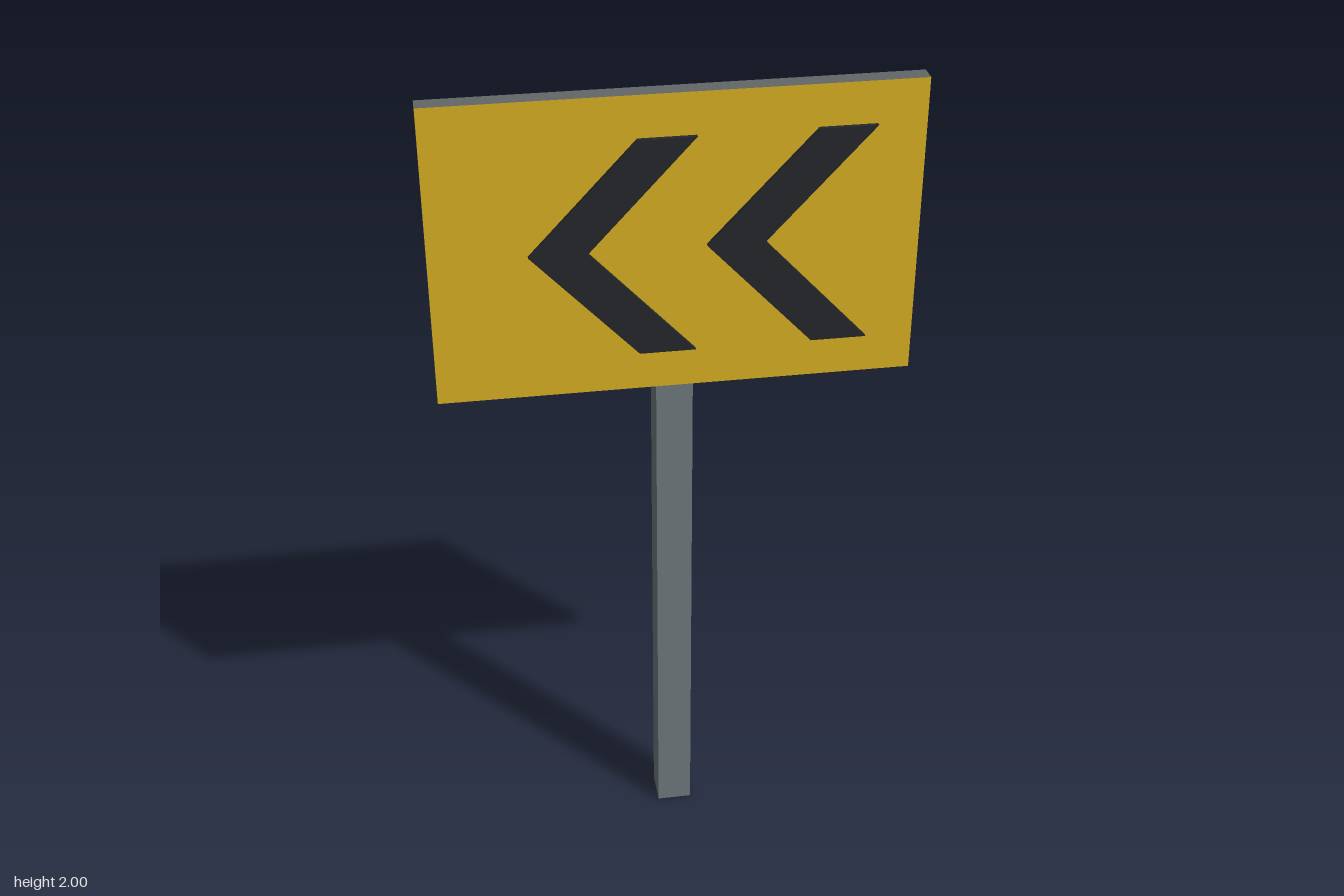
import * as THREE from 'three';

const paint = (color) => new THREE.MeshStandardMaterial({ color });

export function createModel() {
  const model = new THREE.Group();
  const postGrey = paint(0x727b80);
  const panelGrey = paint(0x626768);
  const yellow = paint(0xd9b124);
  const black = paint(0x26282c);

  const add = (name, geometry, material, x, y, z) => {
    const mesh = new THREE.Mesh(geometry, material);
    mesh.name = name;
    mesh.position.set(x, y, z);
    model.add(mesh);
  };

  // Square post behind the lower edge of the panel
  add('post', new THREE.BoxGeometry(0.085, 1.298, 0.085), postGrey, 0, 0.649, -0.0225);

  // Panel: grey plate with a yellow front (+z) face
  const faces = [panelGrey, panelGrey, panelGrey, panelGrey, yellow, panelGrey];
  add('signPanel', new THREE.BoxGeometry(1.08, 0.7, 0.043), faces, 0, 1.65, 0.0315);

  // Raised chevrons pointing to -x, outlined from their tip
  const outline = [[0, 0], [0.129, -0.255], [0.129, 0], [0.129, 0.255]];
  const [tip, , notch] = outline;
  const points = [tip, [0.239, -0.255], [0.366, -0.255], notch, [0.366, 0.255], [0.239, 0.255]];
  const shape = new THREE.Shape(points.map(([x, y]) => new THREE.Vector2(x, y)));
  const chevron = new THREE.ExtrudeGeometry(shape, { depth: 0.01, bevelEnabled: false });
  [['rightChevron', -0.324], ['leftChevron', 0.065]].forEach(([name, x]) => {
    add(name, chevron, black, x, 1.65, 0.055);
  });

  return model;
}
